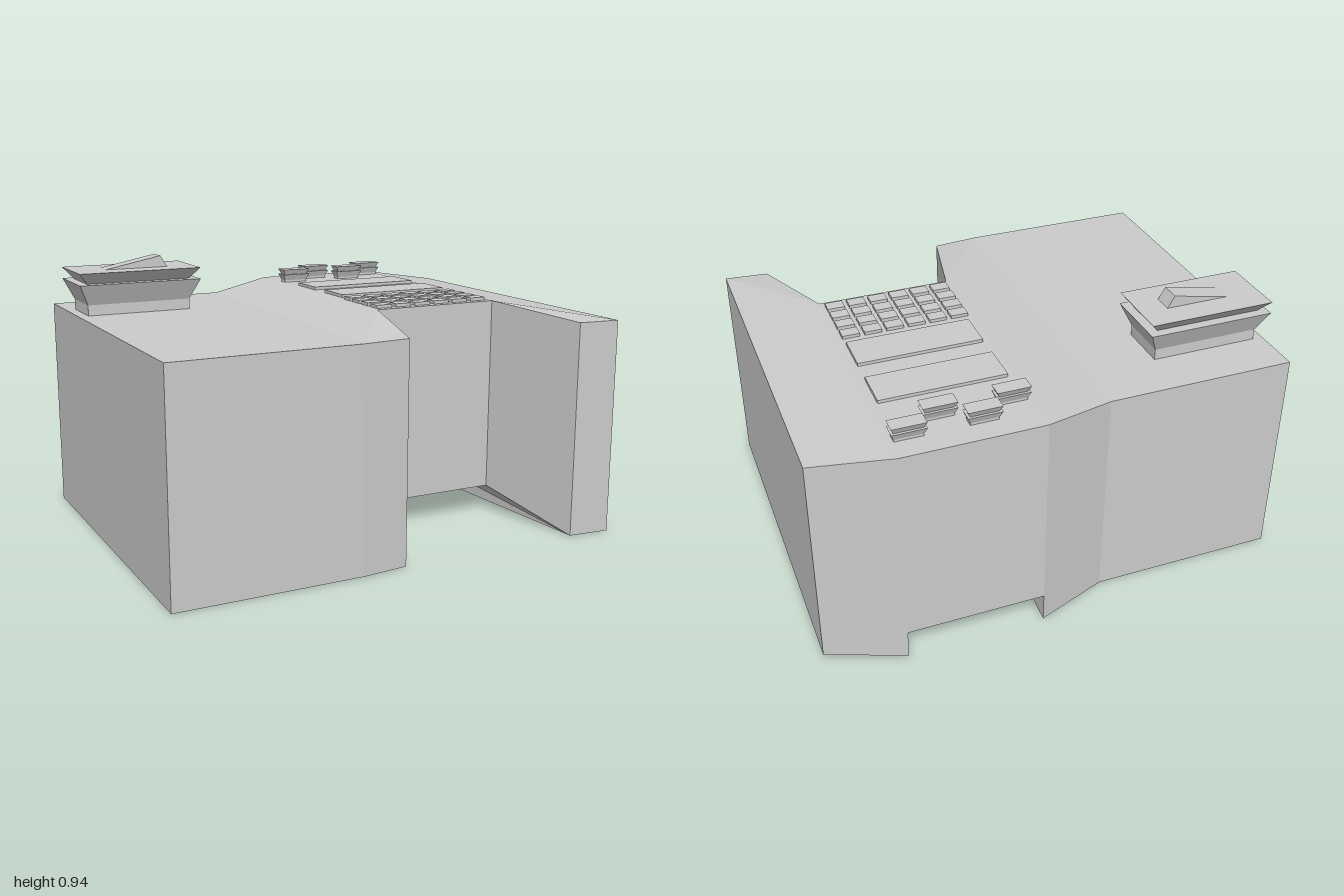
import * as THREE from 'three';

const material = new THREE.MeshStandardMaterial({ color: 0xcccccc, flatShading: true });

function addMesh(parent, geometry, name) {
  const mesh = new THREE.Mesh(geometry, material);
  mesh.name = name;
  parent.add(mesh);
  return mesh;
}

// Local layout: u runs across the desk (back to front), v along it; x = u, z = -v.
// Corner: [u, v, top height, bottom height]
const corners = {
  A: [-0.615, -0.806, 0.75, 0], B: [0.61, -0.806, 0.75, 0],
  L: [0.61, -0.163, 0.75, 0], C: [0.594, 0, 0.75, 0],
  D: [0.247, 0.08, 0.785, 0.1], E: [0.247, 0.545, 0.785, 0.1],
  F: [0.6, 0.658, 0.75, 0], G: [0.615, 0.806, 0.75, 0],
  H: [-0.608, 0.806, 0.75, 0], I: [-0.707, 0.55, 0.785, 0],
  J: [-0.707, 0.085, 0.785, 0], K: [-0.615, -0.163, 0.75, 0],
  // raised underside corners at the back of the bridge
  N: [-0.707, 0.55, 0.785, 0.1], M: [-0.707, 0.085, 0.785, 0.1],
};

function bodyGeometry() {
  const positions = [];
  const top = (k) => [corners[k][0], corners[k][2], -corners[k][1]];
  const bottom = (k) => [corners[k][0], corners[k][3], -corners[k][1]];
  const fan = (points) => {
    for (let i = 1; i < points.length - 1; i++) positions.push(...points[0], ...points[i], ...points[i + 1]);
  };
  // top slopes, underside, then the walls around the outline
  for (const face of ['ABLK', 'DJKLC', 'DEIJ', 'EGHI', 'EFG']) fan([...face].map(top));
  for (const face of ['ABLCJK', 'CDMJ', 'DENM', 'EFIN', 'FGHI']) fan([...face].reverse().map(bottom));
  for (const run of ['ABLCDEFGHI', 'NM', 'JKA']) {
    for (let i = 0; i < run.length - 1; i++) {
      const p = run[i], q = run[i + 1];
      fan([bottom(p), bottom(q), top(q), top(p)]);
    }
  }
  const geometry = new THREE.BufferGeometry();
  geometry.setAttribute('position', new THREE.Float32BufferAttribute(positions, 3));
  geometry.computeVertexNormals();
  return geometry;
}

// Box over a u/v rectangle whose bottom may be inset to give flared sides
function slab(parent, name, [u0, u1, v0, v1], y0, y1, insetBottom = 0, insetTop = 0) {
  const w = u1 - u0, d = v1 - v0;
  const geometry = new THREE.BoxGeometry(w, y1 - y0, d);
  const p = geometry.attributes.position;
  for (let i = 0; i < p.count; i++) {
    const inset = p.getY(i) < 0 ? insetBottom : insetTop;
    p.setX(i, p.getX(i) * (1 - 2 * inset / w));
    p.setZ(i, p.getZ(i) * (1 - 2 * inset / d));
  }
  geometry.computeVertexNormals();
  const mesh = addMesh(parent, geometry, name);
  mesh.position.set((u0 + u1) / 2, (y0 + y1) / 2, -(v0 + v1) / 2);
}

// Straight foot with two flared tiers above it
function flaredBlock(parent, name, rect, [y0, y1, y2, y3], inset) {
  const group = new THREE.Group();
  group.name = name;
  slab(group, 'foot', rect, y0, y1, inset, inset);
  slab(group, 'lowerTier', rect, y1, y2, inset, 0);
  slab(group, 'upperTier', rect, y2, y3, inset, 0);
  parent.add(group);
}

export function createModel() {
  const model = new THREE.Group();
  model.name = 'controlDesk';
  const desk = new THREE.Group();
  desk.name = 'desk';
  desk.rotation.y = -Math.PI / 4;
  model.add(desk);

  addMesh(desk, bodyGeometry(), 'deskBody');

  // Raised pedestal with a wedge on top
  flaredBlock(desk, 'pedestal', [-0.477, -0.24, -0.804, -0.368], [0.745, 0.787, 0.86, 0.9], 0.033);
  const wedge = new THREE.Shape([[0.7, 0.898], [0.463, 0.898], [0.488, 0.94]].map(([z, y]) => new THREE.Vector2(-z, y)));
  const wedgeMesh = addMesh(desk, new THREE.ExtrudeGeometry(wedge, { depth: 0.066, bevelEnabled: false }), 'wedge');
  wedgeMesh.rotation.y = Math.PI / 2;
  wedgeMesh.position.x = -0.389;

  // Staggered push buttons along the back edge
  for (let i = 0; i < 4; i++) {
    const u = i % 2 ? -0.636 : -0.569;
    const v = 0.085 + i * 0.1177;
    const row = i % 2 ? -0.636 : u;
    flaredBlock(desk, 'button', [row, row + 0.053, v, v + 0.111], [0.78, 0.793, 0.815, 0.835], 0.009);
  }

  // Two flat screens
  for (const u of [-0.42, -0.195]) slab(desk, 'screen', [u, u + 0.142, 0.103, 0.528], 0.78, 0.796);

  // Key grid beside the seat opening
  const keys = new THREE.Group();
  keys.name = 'keyboard';
  desk.add(keys);
  for (let row = 0; row < 4; row++) {
    for (let col = 0; col < 6; col++) {
      const u = -0.015 + row * 0.064, v = 0.09 + col * 0.076;
      slab(keys, 'key', [u, u + 0.046, v, v + 0.06], 0.78, 0.796);
    }
  }
  return model;
}
